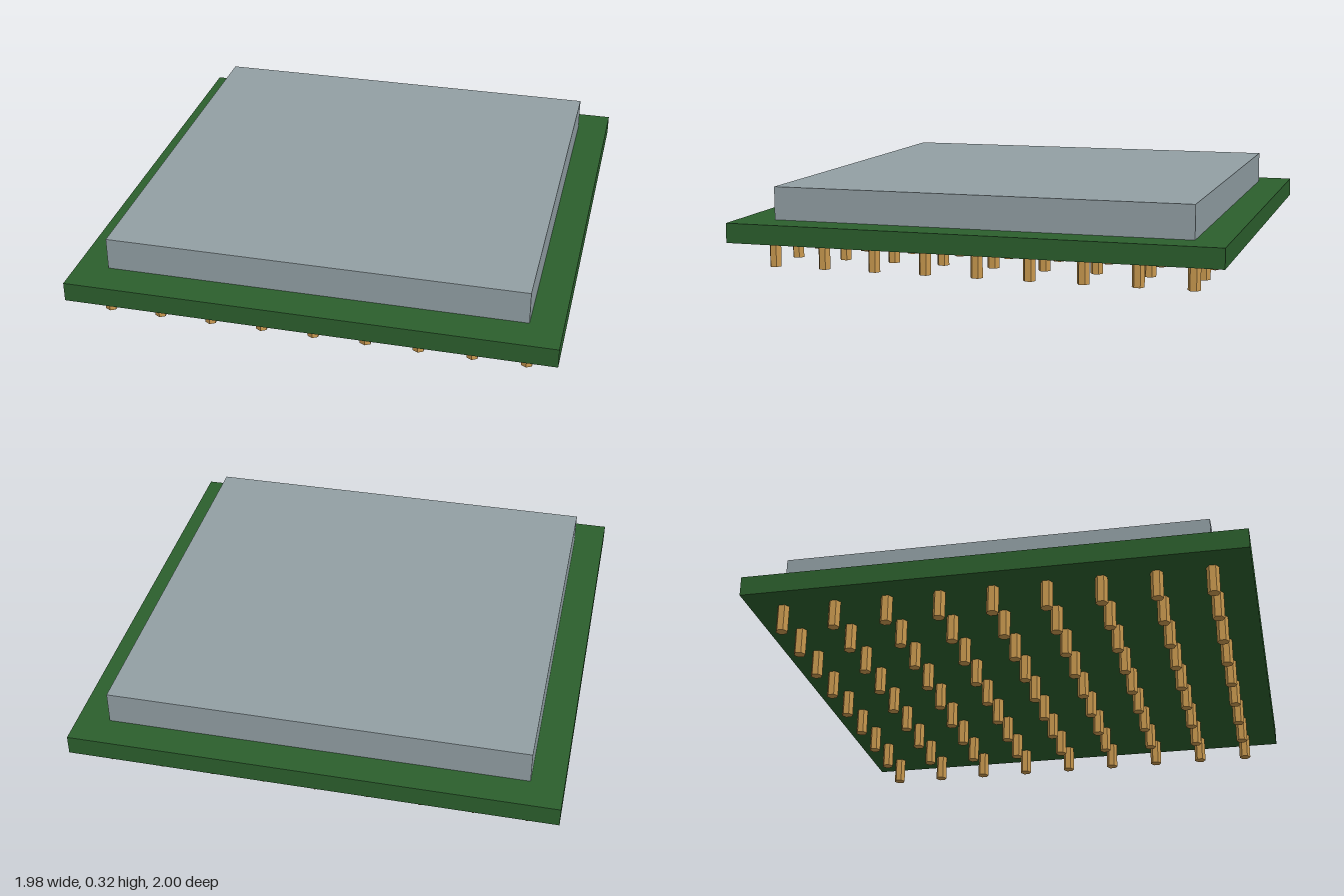
import * as THREE from 'three';

export function createModel() {
  const model = new THREE.Group();
  model.name = 'pinnedChip';

  const material = (name, color, flatShading = false) => {
    const m = new THREE.MeshStandardMaterial({ color, flatShading });
    m.name = name;
    return m;
  };
  const boardGreen = material('boardGreen', 0x2c5f2d);
  const lidGrey = material('lidGrey', 0x929fa4);
  const pinGold = material('pinGold', 0xc9994f, true);

  const PIN_H = 0.11, BOARD_H = 0.08, LID_H = 0.135;
  const OFFSET_Z = -0.0075; // lid and pins sit slightly behind centre

  const addBox = (name, w, h, d, y, z, mat) => {
    const mesh = new THREE.Mesh(new THREE.BoxGeometry(w, h, d), mat);
    mesh.name = name;
    mesh.position.set(0, y + h / 2, z);
    model.add(mesh);
  };

  // Circuit board and the heat-spreading lid on top
  addBox('board', 1.98, BOARD_H, 2, PIN_H, 0, boardGreen);
  addBox('lid', 1.715, LID_H, 1.715, PIN_H + BOARD_H, OFFSET_Z, lidGrey);

  // 9 x 9 grid of six-sided pins below the board
  const pins = new THREE.Group();
  pins.name = 'pins';
  const pinGeometry = new THREE.CylinderGeometry(0.025, 0.025, PIN_H, 6);
  const COUNT = 9, STEP = 0.2144;
  for (let i = 0; i < COUNT; i++) {
    for (let j = 0; j < COUNT; j++) {
      const pin = new THREE.Mesh(pinGeometry, pinGold);
      pin.name = 'pin';
      pin.position.set(
        (i - (COUNT - 1) / 2) * STEP,
        PIN_H / 2,
        (j - (COUNT - 1) / 2) * STEP + OFFSET_Z
      );
      pins.add(pin);
    }
  }
  model.add(pins);

  return model;
}
